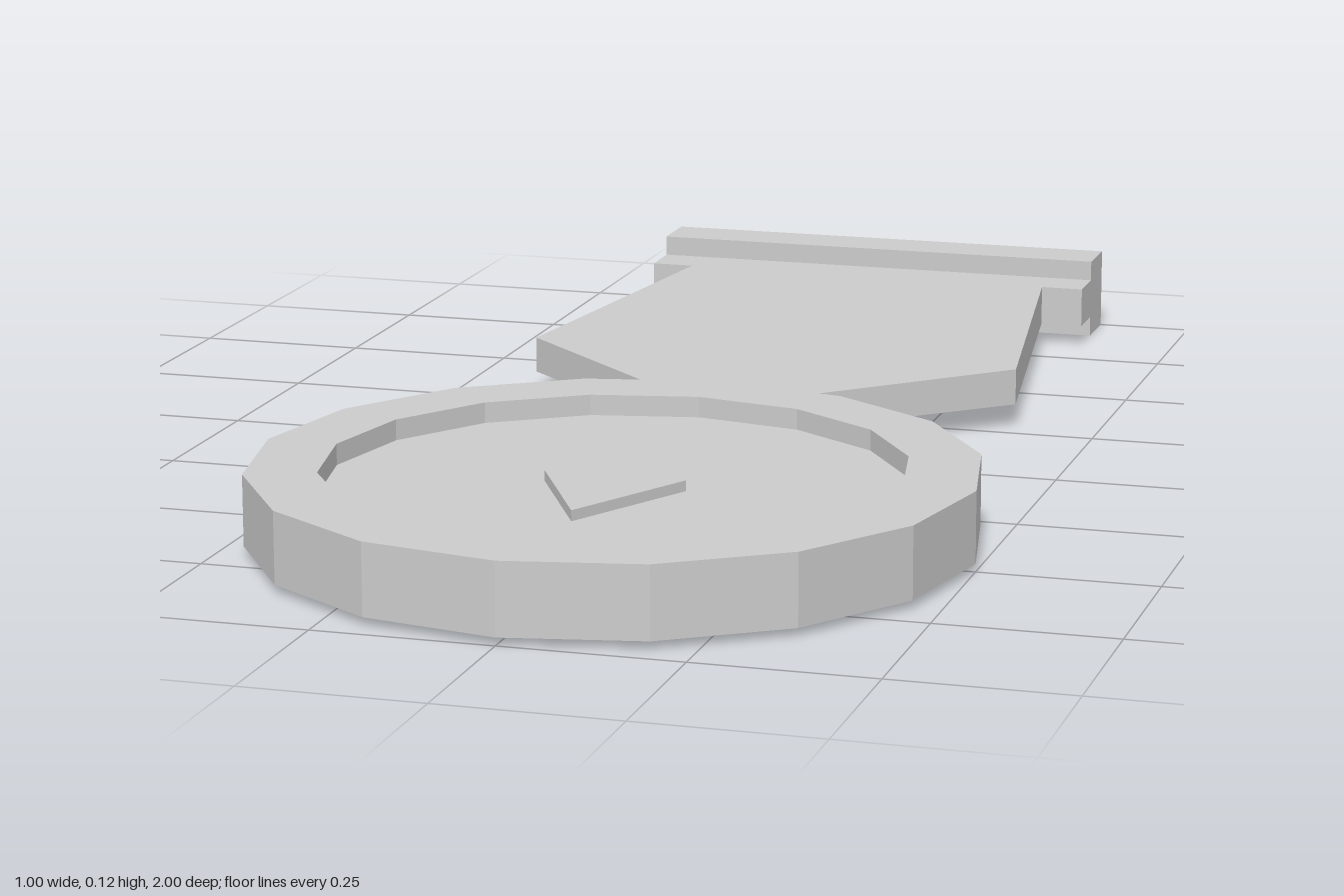
import * as THREE from 'three';

const MID = 0.061; // mid height of every part

function outline(half) {
  // half outline [x, z] mirrored to a closed shape
  const left = half.map(([x, z]) => [-x, z]).reverse();
  return new THREE.Shape([...half, ...left].map(([x, z]) => new THREE.Vector2(x, z)));
}

// Slab lying flat, centred on y = 0
function slab(shape, thickness) {
  const g = new THREE.ExtrudeGeometry(shape, { depth: thickness, bevelEnabled: false });
  g.translate(0, 0, -thickness / 2);
  g.rotateX(Math.PI / 2);
  return g;
}

export function createModel() {
  const group = new THREE.Group();
  const material = new THREE.MeshStandardMaterial({ color: 0xcccccc, flatShading: true });
  const add = (name, geometry, y, z) => {
    const mesh = new THREE.Mesh(geometry, material);
    mesh.name = name;
    mesh.position.set(0, y, z);
    group.add(mesh);
  };

  // Sixteen-sided disc with a raised rim on both faces
  const R = 0.5, r = 0.4, rim = 0.05, face = 0.02;
  const profile = [[0, -face], [r, -face], [r, -rim], [R, -rim], [R, rim], [r, rim], [r, face], [0, face]];
  add('medalDisc', new THREE.LatheGeometry(profile.map(([x, y]) => new THREE.Vector2(x, y)), 16), MID, 0.5);

  // Diamond emblem raised on both faces
  const diamond = new THREE.Shape([[0.1, 0], [0, 0.19], [-0.1, 0], [0, -0.19]].map(([x, z]) => new THREE.Vector2(x, z)));
  add('diamondEmblem', slab(diamond, 2 * face + 0.03), MID, 0.5);

  // Ribbon with top tabs, slightly thinner towards the disc
  const ribbon = slab(outline([
    [0.357, -0.93], [0.357, -0.845], [0.292, -0.845], [0.375, -0.29], [0.047, 0.012],
  ]), 1);
  const p = ribbon.attributes.position;
  for (let i = 0; i < p.count; i++) {
    p.setY(i, p.getY(i) * (0.05 - 0.012 * p.getZ(i)));
  }
  ribbon.computeVertexNormals();
  add('ribbon', ribbon, MID, 0);

  // Hanger bar across the top
  add('hangerBar', new THREE.BoxGeometry(0.714, 2 * MID, 0.085), MID, -0.9575);

  return group;
}
